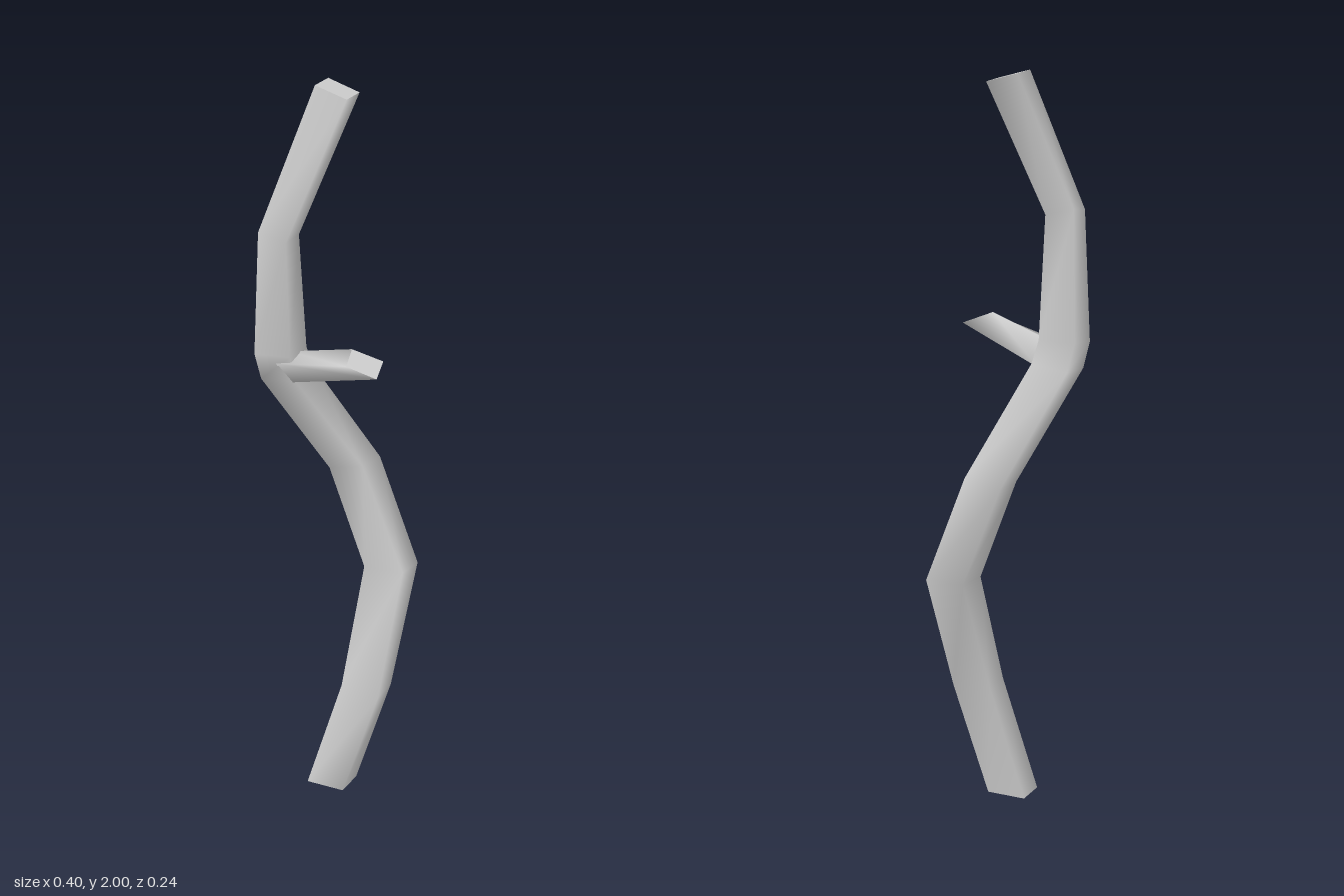
import * as THREE from 'three';
import { mergeGeometries } from 'three/addons/utils/BufferGeometryUtils.js';

// Flat cap over four corners given counter-clockwise as seen from outside
function cap(corners) {
  const g = new THREE.BufferGeometry();
  g.setAttribute('position', new THREE.Float32BufferAttribute(corners.flat(), 3));
  g.setIndex([0, 1, 2, 0, 2, 3]);
  g.computeVertexNormals();
  return g;
}

// Smooth four-sided skin through a list of rings, closed by flat caps
function limb(name, rings, material) {
  const skin = new THREE.BufferGeometry();
  skin.setAttribute('position', new THREE.Float32BufferAttribute(rings.flat(2), 3));
  const index = [];
  for (let i = 0; i < rings.length - 1; i++) {
    for (let j = 0; j < 4; j++) {
      const a = i * 4 + j, b = i * 4 + (j + 1) % 4;
      index.push(a, b, b + 4, a, b + 4, a + 4);
    }
  }
  skin.setIndex(index);
  skin.computeVertexNormals();
  const geometry = mergeGeometries([skin, cap([...rings[0]].reverse()), cap(rings[rings.length - 1])]);
  const mesh = new THREE.Mesh(geometry, material);
  mesh.name = name;
  return mesh;
}

export function createModel() {
  const group = new THREE.Group();
  group.name = 'crookedStick';
  const wood = new THREE.MeshStandardMaterial({ color: 0xcccccc });

  // Main stem, each ring: back left, front left, front right, back right on screen
  group.add(limb('stem', [
    [[-0.045, 0, 0], [-0.063, 0, 0.073], [0.042, 0, 0.085], [0.06, 0, 0.012]],
    [[0.048, 0.33, -0.013], [0.03, 0.33, 0.055], [0.135, 0.315, 0.065], [0.152, 0.32, -0.005]],
    [[0.09, 0.665, -0.115], [0.065, 0.66, -0.037], [0.172, 0.66, -0.033], [0.196, 0.66, -0.098]],
    [[-0.012, 0.94, -0.122], [-0.035, 0.94, -0.048], [0.06, 0.965, -0.035], [0.085, 0.96, -0.11]],
    [[-0.16, 1.235, -0.02], [-0.185, 1.23, 0.055], [-0.09, 1.235, 0.06], [-0.065, 1.25, -0.012]],
    [[-0.175, 1.31, 0], [-0.2, 1.3, 0.06], [-0.1, 1.31, 0.075], [-0.08, 1.31, 0.003]],
    [[-0.163, 1.65, 0.025], [-0.18, 1.64, 0.073], [-0.105, 1.625, 0.086], [-0.088, 1.63, 0.032]],
    [[-0.045, 2, -0.075], [-0.06, 2, -0.015], [0.022, 1.975, -0.007], [0.037, 1.975, -0.065]],
  ], wood));

  // Short side branch growing out of the upper bend
  group.add(limb('sideBranch', [
    [[-0.12, 1.3, 0.02], [-0.14, 1.285, 0.068], [-0.12, 1.228, 0.055], [-0.08, 1.24, -0.005]],
    [[0.06, 1.355, 0.07], [0.06, 1.33, 0.12], [0.135, 1.3, 0.108], [0.137, 1.325, 0.055]],
  ], wood));

  return group;
}
